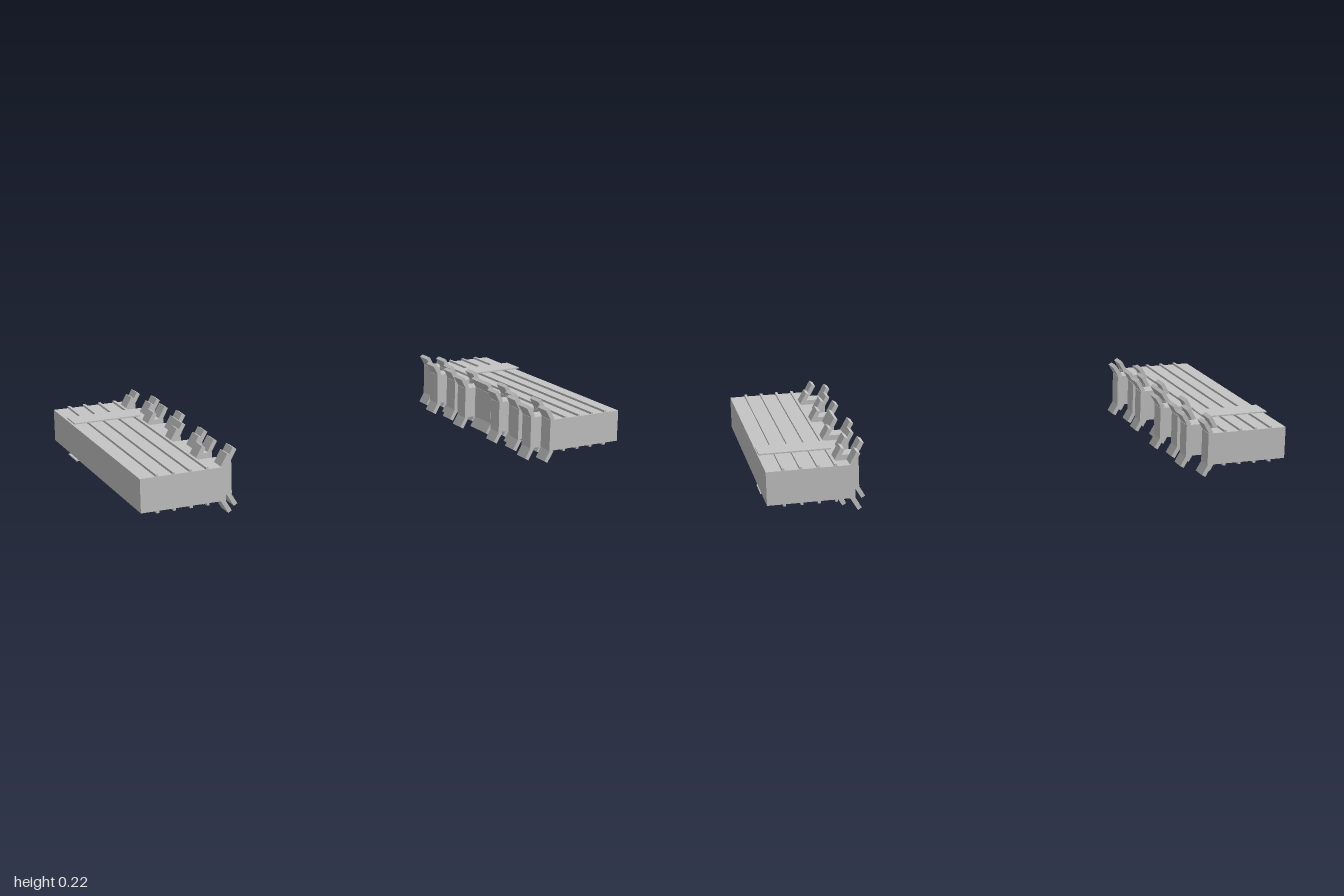
import * as THREE from 'three';

export function createModel() {
  const model = new THREE.Group();
  const grey = new THREE.MeshStandardMaterial({ color: 0xc4c4c4 });
  grey.name = 'grey';
  const MID = 0.11; // mid height of the deck

  // box given by its min and max corners
  function box(parent, name, x0, x1, y0, y1, z0, z1) {
    const mesh = new THREE.Mesh(new THREE.BoxGeometry(x1 - x0, y1 - y0, z1 - z0), grey);
    mesh.position.set((x0 + x1) / 2, (y0 + y1) / 2, (z0 + z1) / 2);
    mesh.name = name;
    parent.add(mesh);
  }

  // innermost reach of each broken plank, from back to front
  const reach = [0.66, 0.705, 0.622, 0.668, 0.635, 0.705, 0.612, 0.66,
    0.66, 0.705, 0.622, 0.668, 0.635, 0.705, 0.612, 0.66];
  const W = 1 / reach.length;

  // bent end plate: slanted 30 degrees from vertical, flaring towards the gap
  const t = 0.016, len = 0.051, c = Math.cos(Math.PI / 6), s = 0.5;
  function flap(parent, edge, z0, z1, up) {
    const tipY = 0.11 - t * s;
    const pts = [
      [edge, tipY],
      [edge + t * c, 0.11],
      [edge + t * c + len * s, 0.11 - len * c],
      [edge + len * s, tipY - len * c],
    ].map(([x, y]) => new THREE.Vector2(x, MID + up * y));
    const geo = new THREE.ExtrudeGeometry(new THREE.Shape(pts), { depth: z1 - z0, bevelEnabled: false });
    const mesh = new THREE.Mesh(geo, grey);
    mesh.position.z = z0;
    mesh.name = up > 0 ? 'upperBentEnd' : 'lowerBentEnd';
    parent.add(mesh);
  }

  for (const side of [1, -1]) {
    const half = new THREE.Group();
    half.name = side > 0 ? 'leftDeck' : 'rightDeck';
    box(half, 'deckSlab', 0.75, 1, MID - 0.0625, MID + 0.0625, -0.5, 0.5);

    // jagged broken edge
    reach.forEach((edge, i) => {
      const z0 = -0.5 + i * W, z1 = z0 + W;
      box(half, 'brokenPlank', edge + 0.021, 0.75, MID - 0.0625, MID + 0.0625, z0, z1);
      flap(half, edge, z0, z1, 1);
      flap(half, edge, z0, z1, -1);
    });

    // long ribs and a cross strap, above and below
    for (const up of [1, -1]) {
      const span = (a, b) => (up > 0 ? [MID + a, MID + b] : [MID - b, MID - a]);
      for (let i = 0; i < 4; i++) {
        const x = 0.75 + i * 0.0625;
        box(half, 'rib', x - 0.005, x + 0.005, ...span(0.06, 0.071), -0.5, 0.5);
      }
      box(half, 'crossStrap', 0.735, 1, ...span(0.071, 0.076), -0.325, -0.228);
    }

    // half turn about z mirrors the deck, as it is the same above and below
    if (side < 0) {
      half.rotation.z = Math.PI;
      half.position.y = 2 * MID;
    }
    model.add(half);
  }
  return model;
}
